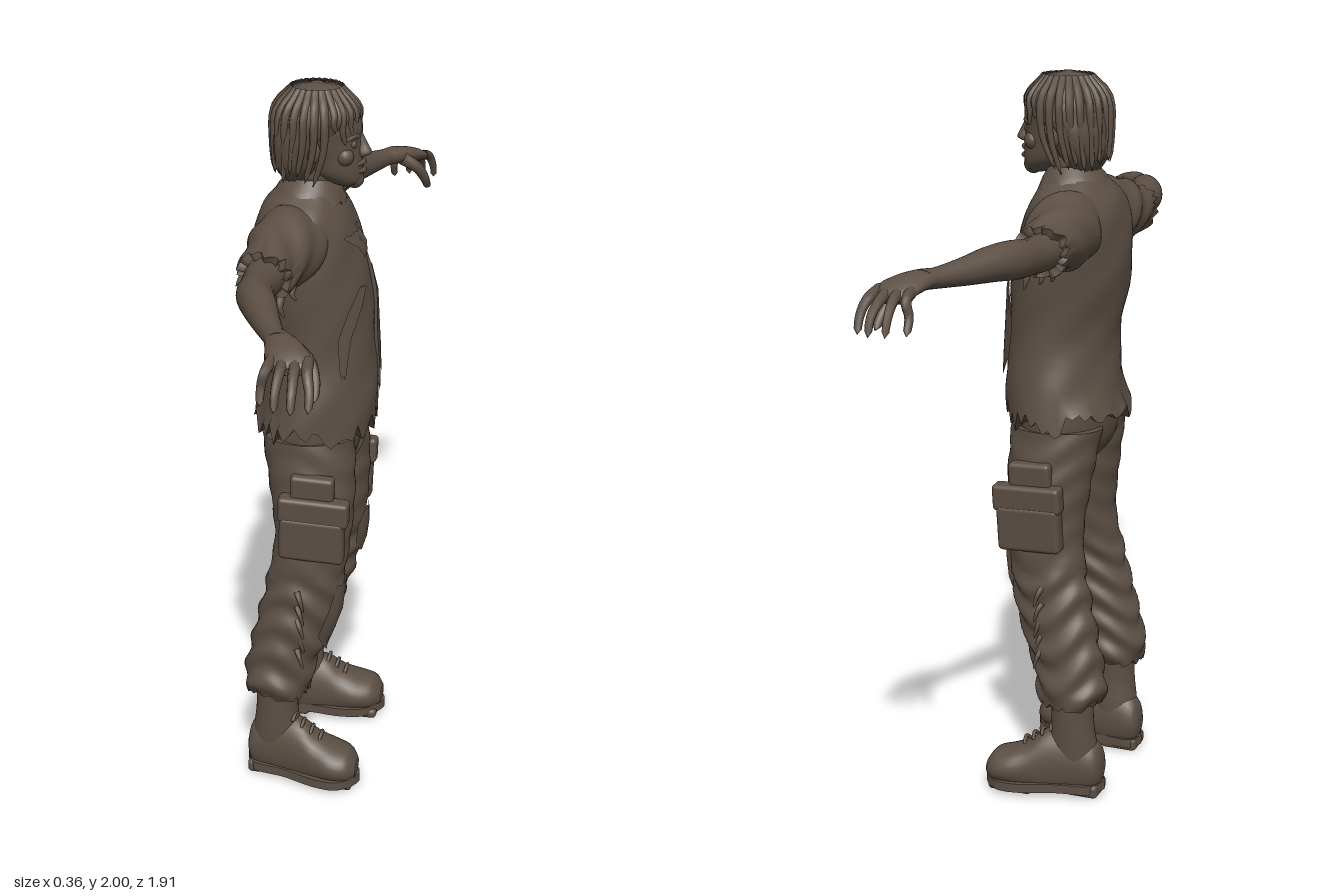
import * as THREE from 'three';
import { RoundedBoxGeometry } from 'three/addons/geometries/RoundedBoxGeometry.js';

const mat = new THREE.MeshStandardMaterial({ color: 0x5c4f44, side: THREE.DoubleSide });
mat.name = 'weatheredBrown';

const hash = n => { const s = Math.sin(n * 127.1 + 11.7) * 43758.5453; return s - Math.floor(s); };
const cubic = (a, b, c, d, t) =>
  0.5 * (2 * b + (c - a) * t + (2 * a - 5 * b + 4 * c - d) * t * t + (3 * b - a - 3 * c + d) * t * t * t);

// Smooth interpolation of cross-sections [along, centreA, centreB, radiusA, radiusB]
function sectionAt(S, f) {
  const i = Math.min(Math.floor(f), S.length - 2), t = f - i, g = k => S[Math.max(0, Math.min(S.length - 1, k))];
  return g(i).map((_, k) => cubic(g(i - 1)[k], g(i)[k], g(i + 1)[k], g(i + 2)[k], t));
}

// Closed skin through elliptical sections; rag tears the last edge, fold(angle, along) adds creases
function loft(S, axis, { seg = 32, steps = 5, rag = 0, fold = () => 0, side = 1, floor = -1 } = {}) {
  const pos = [], idx = [], n = (S.length - 1) * steps;
  const dir = Math.sign(S[S.length - 1][0] - S[0][0]);
  const put = (t, a, b) => {
    const p = axis === 'y' ? [a, t, b] : axis === 'z' ? [a, b, t] : [t, a, b];
    pos.push(p[0], Math.max(floor, p[1]), p[2] * side);
  };
  const ring = i => {
    const [t, a, b, ra, rb] = sectionAt(S, i / steps);
    const w = Math.max(0, 1 - (n - i) / steps);
    for (let j = 0; j < seg; j++) {
      const th = j / seg * Math.PI * 2, k = fold(th, t);
      put(t + dir * rag * w * (hash(j + side * 3) - 0.35),
        a + Math.cos(th) * (ra + k), b + Math.sin(th) * (rb + k));
    }
  };
  for (let i = 0; i <= n; i++) ring(i);
  for (let i = 0; i < n; i++) for (let j = 0; j < seg; j++) {
    const k = (j + 1) % seg, p = i * seg, q = p + seg;
    idx.push(p + j, q + j, p + k, p + k, q + j, q + k);
  }
  for (const [i, flip] of [[0, false], [n, true]]) {
    const base = pos.length / 3, s = sectionAt(S, i / steps);
    ring(i);
    put(s[0], s[1], s[2]);
    for (let j = 0; j < seg; j++) {
      const k = (j + 1) % seg;
      idx.push(base + seg, base + (flip ? k : j), base + (flip ? j : k));
    }
  }
  // Turn the faces outward
  let vol = 0;
  const v = i => new THREE.Vector3().fromArray(pos, idx[i] * 3);
  for (let i = 0; i < idx.length; i += 3) vol += v(i).dot(v(i + 1).cross(v(i + 2)));
  if (vol < 0) idx.reverse();
  return finish(pos, idx);
}

function finish(pos, idx) {
  const g = new THREE.BufferGeometry();
  g.setAttribute('position', new THREE.Float32BufferAttribute(pos, 3));
  g.setIndex(idx);
  g.computeVertexNormals();
  return g;
}

// Tapering tube for fingers, hair locks and seams
function taper(points, r0, r1, n = 10) {
  const curve = new THREE.CatmullRomCurve3(points.map(p => new THREE.Vector3(...p)));
  const g = new THREE.TubeGeometry(curve, n, 1, 8), p = g.attributes.position, v = new THREE.Vector3();
  for (let i = 0; i <= n; i++) {
    const c = curve.getPointAt(i / n);
    const r = i === n ? 0.0005 : r0 + (r1 - r0) * i / n;
    for (let j = 0; j <= 8; j++) {
      const k = i * 9 + j;
      v.fromBufferAttribute(p, k).sub(c).multiplyScalar(r).add(c);
      p.setXYZ(k, v.x, v.y, v.z);
    }
  }
  return g;
}

// Torn cloth lying on the front of a loft; rows are [y, zFrom, zTo, lift]
function patch(S, rows, side = 1, cols = 6) {
  const pos = [], idx = [];
  for (const [y, z0, z1, lift] of rows) {
    let i = 0;
    while (i < S.length - 2 && (S[i + 1][0] - y) * (S[0][0] - y) > 0) i++;
    const t = (y - S[i][0]) / (S[i + 1][0] - S[i][0]);
    const [, a, b, ra, rb] = S[i].map((q, k) => q + (S[i + 1][k] - q) * t);
    for (let c = 0; c <= cols; c++) {
      const z = z0 + (z1 - z0) * c / cols, u = Math.min(0.98, Math.abs((z - b) / rb));
      pos.push(a + ra * Math.sqrt(1 - u * u) + lift, y + (hash(c + y * 9) - 0.5) * 0.012, z * side);
    }
  }
  for (let r = 0; r < rows.length - 1; r++) for (let c = 0; c < cols; c++) {
    const p = r * (cols + 1) + c, q = p + cols + 1;
    idx.push(p, q, p + 1, p + 1, q, q + 1);
  }
  return finish(pos, idx);
}

export function createModel() {
  const model = new THREE.Group();
  const add = (name, g, x = 0, y = 0, z = 0) => {
    const m = new THREE.Mesh(g, mat);
    m.name = name;
    m.position.set(x, y, z);
    model.add(m);
    return m;
  };

  // Shirt with a ragged hem and a torn front
  const shirt = [[1.735, -.02, 0, .06, .062], [1.71, -.025, 0, .085, .105], [1.66, -.03, 0, .118, .17],
    [1.58, -.025, 0, .142, .185], [1.45, -.01, 0, .157, .18], [1.3, .008, 0, .148, .172],
    [1.16, .01, 0, .158, .195], [1.085, -.003, 0, .168, .208]];
  add('shirt', loft(shirt, 'y', { seg: 64, rag: .07,
    fold: (a, y) => .004 * Math.sin(5 * a + y * 22) * Math.sin(y * 17 + a) }));
  add('tornShirtFlap', patch(shirt, [[1.48, -.09, -.075, .012], [1.42, -.12, -.05, .016], [1.33, -.14, -.035, .016],
    [1.25, -.14, -.05, .014], [1.18, -.1, -.06, .01]]));
  add('tornShirtStrip', patch(shirt, [[1.47, .05, .08, .008], [1.42, .09, .13, .014], [1.34, .13, .155, .016], [1.24, .15, .16, .014]]));
  add('chestTear', patch(shirt, [[1.61, .0, .1, .008], [1.57, -.01, .06, .014], [1.545, .0, .03, .012]]));
  add('frontSeam', taper([[.1, 1.62, -.01], [.152, 1.45, -.02], [.158, 1.3, -.02], [.172, 1.14, -.02]], .006, .006));
  add('collar', loft([[1.75, -.015, 0, .064, .066], [1.72, -.02, 0, .085, .095], [1.69, -.02, 0, .1, .12]], 'y', { rag: .03 }));

  // Head and face
  add('neck', loft([[1.66, -.025, 0, .06, .065], [1.73, -.005, 0, .056, .058], [1.8, .01, 0, .06, .06]], 'y'));
  add('head', loft([[1.728, .08, 0, .022, .022], [1.742, .072, 0, .048, .044], [1.77, .047, 0, .076, .064], [1.81, .03, 0, .09, .074],
    [1.85, .018, 0, .1, .083], [1.9, .01, 0, .108, .09], [1.95, .0, 0, .09, .078], [1.98, 0, 0, .03, .03]], 'y'));
  add('nose', loft([[1.808, .12, 0, .012, .016], [1.818, .126, 0, .02, .019], [1.84, .118, 0, .018, .012], [1.87, .108, 0, .012, .009]], 'y', { seg: 12 }));
  add('upperLip', taper([[.108, 1.789, -.03], [.126, 1.793, 0], [.108, 1.789, .03]], .007, .007));
  add('lowerLip', taper([[.108, 1.772, -.026], [.126, 1.769, 0], [.108, 1.772, .026]], .008, .008));
  add('chin', new THREE.SphereGeometry(.026, 16, 12), .1, 1.745, 0);

  // Hair: a cap with locks around the fringe, sides and nape
  add('hair', loft([[1.73, -.05, 0, .03, .045], [1.78, -.045, 0, .066, .088], [1.84, -.035, 0, .085, .105], [1.885, -.012, 0, .106, .108],
    [1.92, .0, 0, .116, .106], [1.955, .0, 0, .1, .09], [1.985, 0, 0, .06, .056], [1.998, 0, 0, .01, .01]], 'y',
    { seg: 64, fold: a => .003 * Math.sin(a * 17) }));
  for (let i = 0; i < 26; i++) {
    const a = i / 26 * Math.PI * 2, c = Math.cos(a), s = Math.sin(a);
    const low = (c > .55 ? 1.865 : 1.75) + (hash(i) - .5) * .04;
    const tip = c > .55 ? .117 : .088;
    add('hairLock', taper([[c * .06, 1.982, s * .055], [c * .11, 1.93, s * .102],
      [c * .114 - .004, (low + 1.93) / 2, s * .105], [c * tip - (c > .55 ? 0 : .025), low, s * .09]], .014, .006));
  }

  // Trouser seat
  add('trouserSeat', loft([[.925, .01, 0, .07, .04], [.96, .005, 0, .105, .14], [1.02, -.003, 0, .128, .188], [1.13, -.003, 0, .135, .19]], 'y'));
  add('fly', taper([[.132, 1.08, 0], [.128, 1.0, 0], [.1, .94, 0]], .008, .006));

  const leg = [[1.05, -.004, .095, .128, .1], [.97, .004, .106, .123, .1], [.88, .012, .117, .117, .099], [.75, .015, .132, .106, .089],
    [.63, -.002, .148, .106, .079], [.55, -.018, .155, .108, .078], [.45, -.045, .162, .104, .079],
    [.36, -.07, .166, .098, .08], [.31, -.075, .17, .097, .086], [.28, -.075, .17, .085, .076]];

  for (const side of [1, -1]) {
    const pre = side > 0 ? 'left' : 'right';
    const M = pts => pts.map(([x, y, z]) => [x, y, z * side]);

    // Trousers, gathered at the cuff, with torn knees and cargo pockets
    add(pre + 'TrouserLeg', loft(leg, 'y', { side, seg: 48, rag: .02, steps: 7,
      fold: (a, y) => (y < .65 ? .006 : .002) * Math.sin(y * 70 + 3 * Math.sin(a * 2 + side)) }));
    add(pre + 'KneeTear', patch(leg, side > 0
      ? [[.63, .11, .19, .01], [.55, .1, .21, .016], [.48, .13, .22, .016], [.42, .12, .17, .014]]
      : [[.73, .12, .16, .006], [.68, .09, .18, .014], [.62, .1, .18, .014], [.58, .13, .16, .008]], side));
    for (let i = 0; i < 5; i++) {
      const y = .62 - i * .045, z = .218 + hash(i) * .012;
      add(pre + 'ClothShred', taper(M([[-.01, y, z], [.0, y - .02, z + .012], [.01, y - .055, z + .012]]), .009, .003));
    }
    const pocket = add(pre + 'CargoPocket', new RoundedBoxGeometry(.18, .13, .05, 3, .014), .03, .785, .215 * side);
    const flap = add(pre + 'PocketFlap', new RoundedBoxGeometry(.195, .075, .05, 3, .012), .035, .87, .217 * side);
    const upper = add(pre + 'PocketTop', new RoundedBoxGeometry(.12, .07, .04, 3, .012), .03, .935, .208 * side);
    for (const p of [pocket, flap, upper]) p.rotation.set(.06 * side, 0, -.03);

    // Boots
    add(pre + 'BootShaft', loft([[.06, -.085, .168, .07, .052], [.14, -.08, .17, .07, .055], [.22, -.08, .174, .06, .053], [.33, -.078, .172, .062, .056]], 'y', { side }));
    add(pre + 'BootFoot', loft([[-.165, .08, .163, .025, .025], [-.148, .085, .164, .07, .048], [-.08, .09, .17, .1, .058],
      [-.01, .085, .183, .1, .062], [.04, .075, .191, .073, .071], [.09, .07, .198, .056, .077], [.135, .065, .203, .047, .064],
      [.158, .058, .205, .025, .035]], 'x', { side, floor: .025 }));
    const soleShape = new THREE.Shape();
    soleShape.moveTo(-.17, .16 * side);
    soleShape.splineThru([[-.14, .115], [-.05, .122], [.05, .116], [.12, .135], [.167, .205], [.12, .268], [.05, .27],
      [-.05, .235], [-.14, .215], [-.17, .16]].map(([x, z]) => new THREE.Vector2(x, z * side)));
    const sole = new THREE.ExtrudeGeometry(soleShape, { depth: .026, bevelEnabled: false, curveSegments: 40 });
    add(pre + 'BootSole', sole.rotateX(Math.PI / 2), 0, .04, 0);
    add(pre + 'BootHeel', new RoundedBoxGeometry(.11, .04, .09, 2, .012), -.108, .02, .166 * side);
    add(pre + 'BootToeSole', new RoundedBoxGeometry(.13, .03, .11, 2, .012), .085, .015, .196 * side);
    for (let i = 0; i < 4; i++) {
      const x = .05 - i * .026, y = .148 + i * .017;
      add(pre + 'BootLace', taper(M([[x, y - .01, .165], [x + .004, y + .006, .19], [x, y - .01, .215]]), .006, .005));
    }

    // Torn sleeve
    add(pre + 'Sleeve', loft([[.06, -.035, 1.605, .09, .09], [.15, -.045, 1.597, .1, .102], [.22, -.052, 1.595, .09, .09],
      [.29, -.06, 1.587, .078, .077], [.345, -.062, 1.58, .072, .068]], 'z',
      { side, seg: 48, rag: .06, fold: (a, z) => .004 * Math.sin(a * 4 + z * 50) }));
    for (let i = 0; i < 4; i++) {
      const z = .25 + i * .032, x = -.09 + hash(i + 4) * .08;
      add(pre + 'SleeveShred', taper(M([[x, 1.53, z], [x, 1.505, z + .01], [x + .01, 1.475 + hash(i) * .02, z + .005]]), .012, .003));
    }

    // Arm and palm
    add(pre + 'Arm', loft([[.2, -.055, 1.588, .06, .06], [.34, -.062, 1.58, .054, .05], [.43, -.06, 1.582, .046, .047],
      [.51, -.048, 1.588, .049, .05], [.58, -.022, 1.59, .047, .045], [.66, .012, 1.585, .038, .035], [.74, .05, 1.582, .031, .026],
      [.78, .075, 1.583, .034, .025]], 'z', { side, seg: 24 }));
    add(pre + 'Palm', loft([[.735, .05, 1.582, .028, .024], [.78, .08, 1.582, .043, .025], [.83, .105, 1.572, .055, .023],
      [.865, .112, 1.557, .05, .018], [.875, .113, 1.552, .03, .01]], 'z', { side, seg: 20 }));

    // Four curled fingers and the thumb
    const tips = [[.055, .91], [.095, .942], [.135, .95], [.172, .93]];
    tips.forEach(([x, z], i) => {
      const k = .072 + i * .027;
      add(pre + 'Finger', taper(M([[k, 1.568, .84], [(k + x) / 2, 1.552, .89], [x, 1.518, z - .018], [x, 1.475, z]]), .0155, .009));
    });
    add(pre + 'Thumb', taper(M([[.1, 1.575, .77], [.143, 1.545, .785], [.163, 1.505, .81], [.168, 1.465, .845]]), .021, .01));

    // Ears and brows
    const ear = add(pre + 'Ear', new THREE.SphereGeometry(.024, 14, 10), .008, 1.835, .09 * side);
    ear.scale.set(.8, 1.3, .45);
    add(pre + 'Brow', taper(M([[.108, 1.862, .012], [.106, 1.868, .035], [.085, 1.86, .06]]), .01, .006));
    add(pre + 'Eye', new THREE.SphereGeometry(.013, 12, 8), .1, 1.846, .034 * side);
    add(pre + 'Cheek', new THREE.SphereGeometry(.025, 14, 10), .082, 1.815, .046 * side);
  }
  return model;
}
